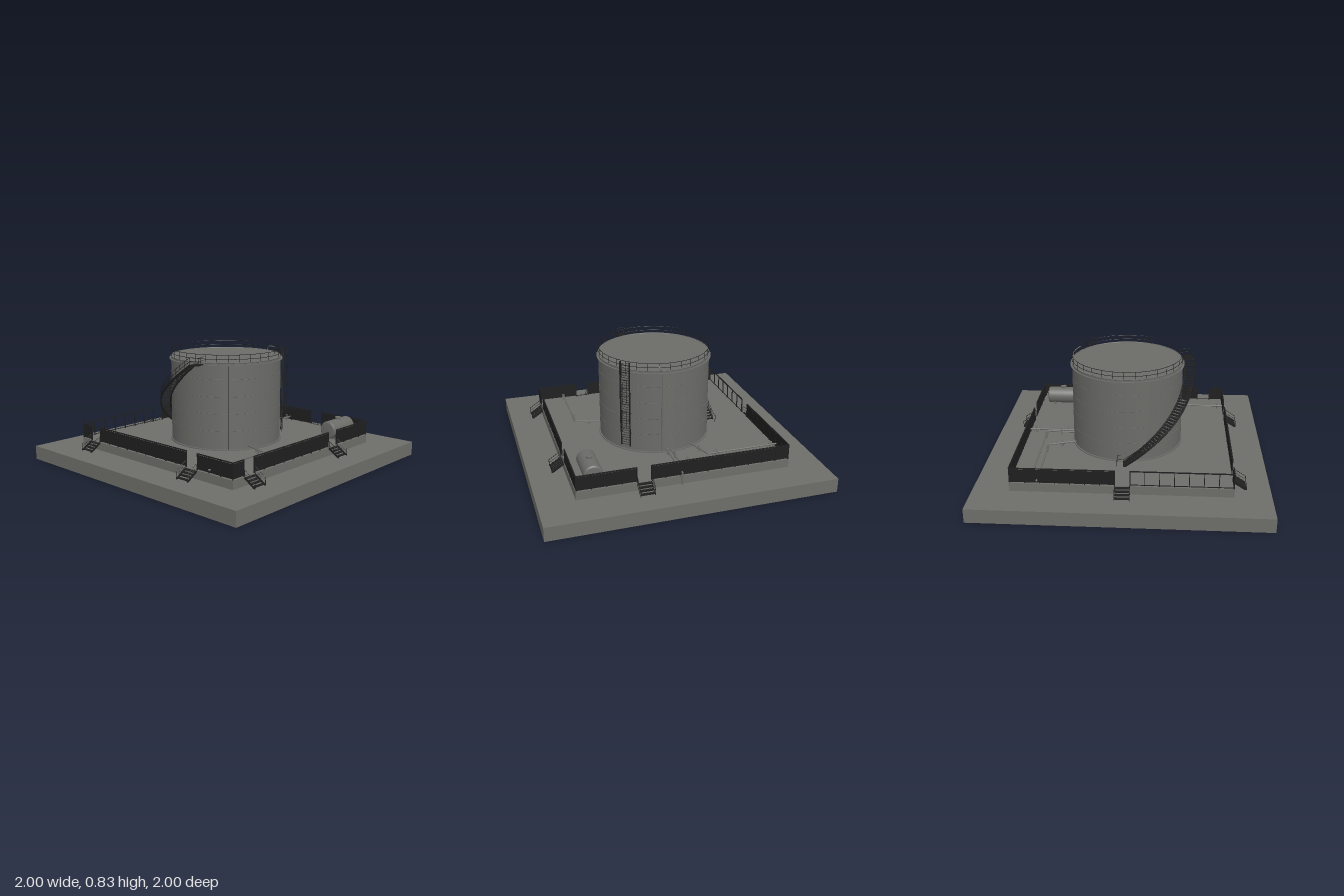
import * as THREE from 'three';

const concrete = new THREE.MeshStandardMaterial({ color: 0x6d6d69, side: THREE.DoubleSide });
concrete.name = 'concrete grey';
const steel = new THREE.MeshStandardMaterial({ color: 0x6b6b68 });
steel.name = 'steel grey';
const dark = new THREE.MeshStandardMaterial({ color: 0x1f1f20, side: THREE.DoubleSide });
dark.name = 'dark metal';

const FLOOR = 0.16, R = 0.4, ROOF = 0.775;
const V = (x, y, z) => new THREE.Vector3(x, y, z);
// Point on a circle around the tank, angle in degrees from +x towards +z
const polar = (r, deg, y) => V(r * Math.cos(deg * Math.PI / 180), y, r * Math.sin(deg * Math.PI / 180));

function group(parent, name) {
  const g = new THREE.Group();
  g.name = name;
  parent.add(g);
  return g;
}
function add(parent, name, geo, mat, x = 0, y = 0, z = 0) {
  const m = new THREE.Mesh(geo, mat);
  m.name = name;
  m.position.set(x, y, z);
  parent.add(m);
  return m;
}
const box = (p, name, w, h, d, x, y, z, mat = dark) => add(p, name, new THREE.BoxGeometry(w, h, d), mat, x, y, z);

// Straight round bar between two points
function bar(p, name, a, b, r = 0.002, mat = dark, sides = 5) {
  const m = add(p, name, new THREE.CylinderGeometry(r, r, a.distanceTo(b), sides), mat);
  m.position.lerpVectors(a, b, 0.5);
  m.quaternion.setFromUnitVectors(V(0, 1, 0), b.clone().sub(a).normalize());
  return m;
}
function ring(p, name, r, y, t, mat) {
  const m = add(p, name, new THREE.TorusGeometry(r, t, 5, 64), mat, 0, y, 0);
  m.rotation.x = Math.PI / 2;
}
function tube(p, name, pts, r, mat, seg = 40) {
  add(p, name, new THREE.TubeGeometry(new THREE.CatmullRomCurve3(pts), seg, r, 6), mat);
}

// Hollow ground slab with the raised plinth, open underneath
function buildGround(root) {
  const d = Math.SQRT2;
  const pts = [[1, 0], [1, 0.1], [0.75, 0.1], [0.75, FLOOR], [0, FLOOR]].map(([r, y]) => new THREE.Vector2(r * d, y));
  const geo = new THREE.LatheGeometry(pts, 4, Math.PI / 4).toNonIndexed();
  geo.computeVertexNormals();
  add(root, 'ground slab and plinth', geo, concrete);
}

// Entrance steps at u along one side
function buildSteps(side, u) {
  const g = group(side, 'entrance steps');
  for (let i = 0; i < 4; i++) box(g, 'tread', 0.1, 0.006, 0.022, u, 0.153 - i * 0.014, 0.763 + i * 0.021);
  for (const s of [-1, 1]) {
    const x = u + s * 0.05;
    const str = box(g, 'stringer', 0.004, 0.012, 0.1, x, 0.128, 0.795);
    str.rotation.x = Math.atan2(0.055, 0.085);
    bar(g, 'handrail', V(x, 0.205, 0.755), V(x, 0.15, 0.838));
    bar(g, 'middle rail', V(x, 0.18, 0.755), V(x, 0.127, 0.838), 0.0013);
    bar(g, 'rail post', V(x, FLOOR, 0.755), V(x, 0.205, 0.755));
    bar(g, 'rail post', V(x, 0.1, 0.838), V(x, 0.15, 0.838));
  }
}

// Fence on one side with gaps; the segment numbered openIndex has no panels
function buildFence(root, name, turn, gaps, openIndex = -1) {
  const side = group(root, name);
  side.rotation.y = turn;
  const ends = [-0.745, ...gaps.flatMap(u => [u - 0.05, u + 0.05]), 0.745];
  for (let i = 0; i < ends.length; i += 2) {
    const a = ends[i], w = ends[i + 1] - a, mid = a + w / 2, n = Math.max(1, Math.round(w / 0.1));
    if (i / 2 !== openIndex) box(side, 'fence panel', w, 0.092, 0.003, mid, 0.216, 0.745);
    box(side, 'top rail', w, 0.006, 0.008, mid, 0.269, 0.745);
    box(side, 'bottom rail', w, 0.004, 0.005, mid, 0.169, 0.745);
    for (let k = 0; k <= n; k++) box(side, 'fence post', 0.005, 0.11, 0.007, a + w * k / n, 0.216, 0.745);
  }
  gaps.forEach(u => buildSteps(side, u));
}

function buildTank(root) {
  const g = group(root, 'storage tank');
  add(g, 'tank shell', new THREE.CylinderGeometry(R, R, ROOF - FLOOR, 64), steel, 0, (ROOF + FLOOR) / 2, 0);
  add(g, 'base flange', new THREE.CylinderGeometry(0.41, 0.41, 0.008, 64), steel, 0, FLOOR + 0.004, 0);
  add(g, 'wind girder', new THREE.CylinderGeometry(0.412, 0.412, 0.007, 64), steel, 0, 0.757, 0);
  for (const y of [0.3, 0.42, 0.54, 0.66]) ring(g, 'weld seam', R, y, 0.0015, steel);
  ring(g, 'roof kerb', R, ROOF, 0.004, steel);
  // Roof guard rail
  for (const y of [0.8, 0.83]) ring(g, 'guard rail', R, y, 0.0018, dark);
  for (let i = 0; i < 32; i++) bar(g, 'guard post', polar(R, i * 11.25, ROOF), polar(R, i * 11.25, 0.83), 0.0016);
  // Vertical service lines
  bar(g, 'service line', polar(0.403, 135, FLOOR), polar(0.403, 135, 0.76), 0.003, dark);
  bar(g, 'vent pipe', V(0.402, FLOOR, 0.06), V(0.402, 0.77, 0.06), 0.004, steel);
  tube(g, 'vent bend', [V(0.402, 0.77, 0.06), V(0.4, 0.795, 0.07), V(0.385, 0.81, 0.1), V(0.36, 0.812, 0.17)], 0.004, steel);
}

// Caged ladder on the front left quarter
function buildLadder(root) {
  const g = group(root, 'caged ladder');
  g.rotation.y = Math.PI / 4;
  for (const x of [-0.035, 0.035]) {
    box(g, 'ladder rail', 0.008, 0.63, 0.006, x, 0.515, 0.415);
    for (const y of [0.3, 0.45, 0.6, 0.75]) box(g, 'bracket', 0.005, 0.005, 0.025, x, y, 0.405);
  }
  for (let i = 0; i < 34; i++) bar(g, 'rung', V(-0.035, 0.21 + i * 0.018, 0.415), V(0.035, 0.21 + i * 0.018, 0.415), 0.0015);
  for (let i = 0; i < 9; i++) {
    const hoop = add(g, 'cage hoop', new THREE.TorusGeometry(0.036, 0.0015, 4, 14, Math.PI), dark, 0, 0.35 + i * 0.06, 0.417);
    hoop.rotation.x = Math.PI / 2;
  }
  for (const t of [45, 90, 135]) {
    const p = polar(0.036, t, 0.35).add(V(0, 0, 0.417));
    bar(g, 'cage strip', p, p.clone().setY(0.83), 0.0014);
  }
}

// Stair winding up the back right quarter of the tank
function buildSpiralStair(root) {
  const g = group(root, 'spiral stair');
  const A0 = -90, A1 = -192, steps = 42;
  const at = (t, r, dy) => polar(r, A0 + (A1 - A0) * t, FLOOR + (0.76 - FLOOR) * t + dy);
  for (let i = 0; i < steps; i++) {
    const t = (i + 0.5) / steps, p = at(t, 0.445, 0);
    box(g, 'tread', 0.07, 0.004, 0.021, p.x, p.y, p.z).rotation.y = -(A0 + (A1 - A0) * t) * Math.PI / 180;
  }
  const helix = (r, dy) => Array.from({ length: 25 }, (_, i) => at(i / 24, r, dy));
  for (const r of [0.411, 0.48]) {
    for (const dy of [-0.006, 0.003]) tube(g, 'stringer', helix(r, dy), 0.005, dark, 60);
  }
  for (const dy of [0.028, 0.055]) tube(g, 'handrail', helix(0.48, dy), 0.0018, dark, 60);
  for (let i = 0; i <= 20; i++) bar(g, 'rail post', at(i / 20, 0.48, 0), at(i / 20, 0.48, 0.055), 0.0015);
  // Level handrail at the foot
  for (const r of [0.415, 0.48]) {
    bar(g, 'foot rail', polar(r, -84, 0.215), polar(r, -90, 0.215));
    bar(g, 'foot post', polar(r, -84, FLOOR), polar(r, -84, 0.215));
  }
  // Top landing
  for (let a = -193; a >= -199; a -= 2) {
    const p = polar(0.443, a, 0.762);
    box(g, 'landing plate', 0.08, 0.006, 0.018, p.x, p.y, p.z).rotation.y = -a * Math.PI / 180;
  }
  for (const y of [0.79, 0.815]) {
    bar(g, 'landing rail', polar(0.48, -192, y), polar(0.48, -200, y));
    bar(g, 'landing rail', polar(0.48, -200, y), polar(0.4, -200, y));
  }
  for (const r of [0.44, 0.48]) bar(g, 'landing post', polar(r, -200, 0.76), polar(r, -200, 0.815));
}

// Pipe run with flanges and valves at the ends of each straight
function buildPipe(root, pts) {
  const g = group(root, 'pipe run'), y = 0.188, r = 0.006;
  const P = pts.map(([x, z]) => V(x, y, z));
  for (let i = 0; i + 1 < P.length; i++) {
    const a = P[i], b = P[i + 1], len = a.distanceTo(b);
    bar(g, 'pipe', a, b, r, steel, 10);
    add(g, 'elbow', new THREE.SphereGeometry(r, 10, 8), steel, b.x, y, b.z);
    const marks = len > 0.3 ? [0.06, len - 0.06] : [len / 2];
    for (const d of marks) {
      const dir = b.clone().sub(a).normalize(), c = a.clone().addScaledVector(dir, d);
      for (const s of [-0.015, 0.012]) {
        const f = c.clone().addScaledVector(dir, s);
        bar(g, 'flange', f, f.clone().addScaledVector(dir, 0.004), 0.011, steel, 10);
      }
      bar(g, 'valve stem', c, V(c.x, y + 0.022, c.z), 0.002, steel);
      add(g, 'valve wheel', new THREE.CylinderGeometry(0.009, 0.009, 0.003, 10), steel, c.x, y + 0.022, c.z);
      bar(g, 'pipe support', V(c.x, FLOOR, c.z), c, 0.004, steel);
    }
  }
}

// Small horizontal vessel on saddles
function buildVessel(root) {
  const g = group(root, 'horizontal vessel');
  g.position.set(0.56, 0.23, 0.615);
  const prof = [[0, -0.13], [0.05, -0.13], [0.061, -0.126], [0.065, -0.118], [0.065, 0.118], [0.061, 0.126], [0.05, 0.13], [0, 0.13]];
  add(g, 'vessel body', new THREE.LatheGeometry(prof.map(([r, h]) => new THREE.Vector2(r, h)), 28), steel).rotation.z = Math.PI / 2;
  add(g, 'manhole', new THREE.CylinderGeometry(0.02, 0.02, 0.02, 16), steel, 0.005, 0.066, 0);
  add(g, 'manhole lid', new THREE.CylinderGeometry(0.023, 0.023, 0.004, 16), steel, 0.005, 0.077, 0);
  for (const x of [-0.08, 0.08]) box(g, 'saddle', 0.018, 0.05, 0.09, x, -0.045, 0, steel);
  for (const z of [-0.025, 0.025]) {
    bar(g, 'nozzle', V(0.12, 0.01, z), V(0.143, 0.01, z), 0.005, steel, 8);
    bar(g, 'nozzle flange', V(0.14, 0.01, z), V(0.145, 0.01, z), 0.009, steel, 8);
  }
}

export function createModel() {
  const root = new THREE.Group();
  root.name = 'storage tank compound';
  buildGround(root);
  buildFence(root, 'front fence', 0, [-0.597, 0.305]);
  buildFence(root, 'left fence', Math.PI / 2, [-0.29]);
  buildFence(root, 'back fence', Math.PI, [0.01], 1);
  buildFence(root, 'right fence', -Math.PI / 2, [-0.597, 0.392]);
  buildTank(root);
  buildLadder(root);
  buildSpiralStair(root);
  buildPipe(root, [[0.37, -0.16], [0.56, -0.225], [0.56, -0.76]]);
  buildPipe(root, [[0.39, 0], [0.605, 0], [0.605, -0.73]]);
  buildPipe(root, [[0.39, 0.03], [0.757, 0.03]]);
  buildPipe(root, [[-0.16, 0.36], [-0.22, 0.555], [-0.757, 0.555]]);
  bar(root, 'drain pipe', V(0.757, 0.1, 0.03), V(0.757, 0.188, 0.03), 0.006, steel, 8);
  buildVessel(root);
  return root;
}
